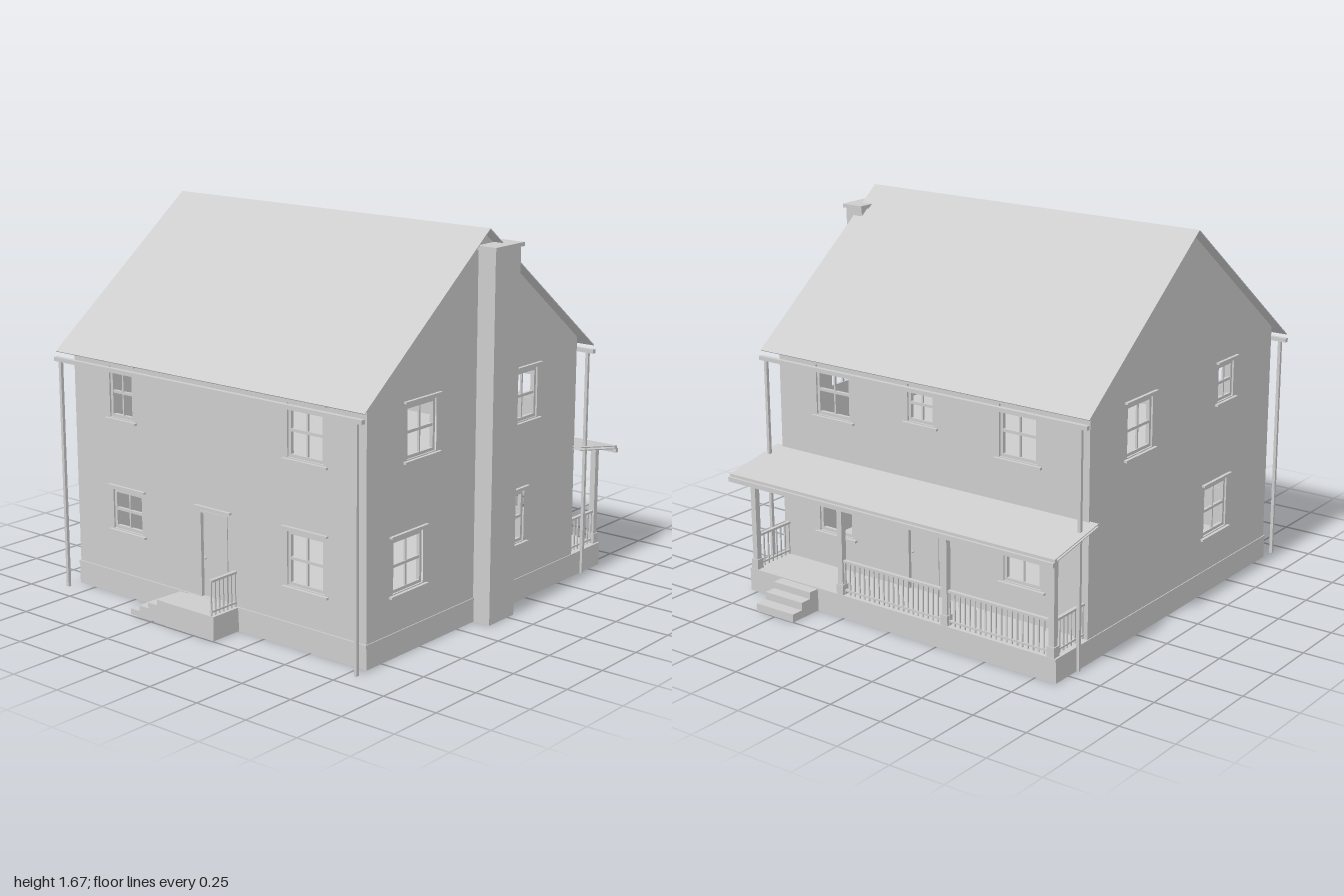
import * as THREE from 'three';

const paint = new THREE.MeshStandardMaterial({ color: 0xcccccc });
paint.name = 'pale grey';
const roofPaint = new THREE.MeshStandardMaterial({ color: 0xcccccc, side: THREE.DoubleSide });
roofPaint.name = 'pale grey sheet';

// Main dimensions
const X0 = -0.845, X1 = 0.785, Z0 = -0.61, Z1 = 0.84;
const EAVE = 1.1, RIDGE_Y = 1.665, RIDGE_Z = 0.112, BASE = 0.105, T = 0.03;

// Box given by its low and high limits on each axis
function box(parent, name, x0, x1, y0, y1, z0, z1) {
  const m = new THREE.Mesh(new THREE.BoxGeometry(x1 - x0, y1 - y0, z1 - z0), paint);
  m.position.set((x0 + x1) / 2, (y0 + y1) / 2, (z0 + z1) / 2);
  m.name = name;
  parent.add(m);
  return m;
}

function group(parent, name) {
  const g = new THREE.Group();
  g.name = name;
  parent.add(g);
  return g;
}

// Sash window in wall space: u across, y up, outer wall face at z = 0
function sashWindow(parent, [u0, u1, y0, y1]) {
  const g = group(parent, 'window');
  const f = 0.013, mid = (y0 + y1) / 2, c = (u0 + u1) / 2;
  box(g, 'windowJamb', u0, u0 + f, y0, y1, -0.024, -0.008);
  box(g, 'windowJamb', u1 - f, u1, y0, y1, -0.024, -0.008);
  box(g, 'windowRail', u0, u1, y0, y0 + f, -0.024, -0.008);
  box(g, 'windowRail', u0, u1, y1 - f, y1, -0.024, -0.008);
  box(g, 'meetingRail', u0, u1, mid - 0.006, mid + 0.006, -0.022, -0.009);
  box(g, 'mullion', c - 0.004, c + 0.004, y0, y1, -0.02, -0.011);
  box(g, 'sill', u0 - 0.022, u1 + 0.022, y0 - 0.014, y0 - 0.004, -0.01, 0.014);
  box(g, 'windowHeader', u0 - 0.022, u1 + 0.022, y1 + 0.014, y1 + 0.022, -0.01, 0.014);
}

// Door leaf with trim and knob
function door(parent, [u0, u1, y0, y1]) {
  const g = group(parent, 'door');
  box(g, 'doorLeaf', u0 + 0.008, u1 - 0.008, y0, y1 - 0.008, -0.024, -0.012);
  box(g, 'doorJamb', u0, u0 + 0.008, y0, y1, -0.026, 0.004);
  box(g, 'doorJamb', u1 - 0.008, u1, y0, y1, -0.026, 0.004);
  box(g, 'doorHead', u0, u1, y1 - 0.008, y1, -0.026, 0.004);
  box(g, 'doorHeader', u0 - 0.022, u1 + 0.022, y1 + 0.014, y1 + 0.022, -0.01, 0.014);
  const knob = new THREE.Mesh(new THREE.SphereGeometry(0.006, 8, 6), paint);
  knob.position.set(u0 + 0.02, (y0 + y1) / 2 - 0.02, -0.008);
  knob.name = 'doorKnob';
  g.add(knob);
}

// Wall panel with openings cut through it
function wall(parent, name, outline, windows, doors) {
  const g = group(parent, name);
  const shape = new THREE.Shape(outline.map(p => new THREE.Vector2(...p)));
  for (const [a, b, c, d] of [...windows, ...doors]) {
    shape.holes.push(new THREE.Path([[a, c], [a, d], [b, d], [b, c]].map(p => new THREE.Vector2(...p))));
  }
  const geo = new THREE.ExtrudeGeometry(shape, { depth: T, bevelEnabled: false });
  geo.translate(0, 0, -T);
  const m = new THREE.Mesh(geo, paint);
  m.name = name + 'Panel';
  g.add(m);
  windows.forEach(w => sashWindow(g, w));
  doors.forEach(d => door(g, d));
  return g;
}

// Railing along x or z between two limits
function railing(parent, axis, a, b, fixed, step) {
  const g = group(parent, 'railing');
  const bar = (name, p, q, y0, y1, h) => axis === 'x'
    ? box(g, name, p, q, y0, y1, fixed - h, fixed + h)
    : box(g, name, fixed - h, fixed + h, y0, y1, p, q);
  bar('handrail', a, b, 0.25, 0.26, 0.008);
  bar('bottomRail', a, b, 0.12, 0.128, 0.006);
  const n = Math.round((b - a) / step);
  for (let i = 0; i <= n; i++) {
    const p = a + 0.004 + (b - a - 0.008) * i / n;
    bar('baluster', p - 0.003, p + 0.003, BASE, 0.25, 0.003);
  }
}

// Sloping sheet spanning x0..x1 between two (y, z) edges
function sheet(parent, name, x0, x1, ya, za, yb, zb) {
  const len = Math.hypot(yb - ya, zb - za);
  const m = new THREE.Mesh(new THREE.BoxGeometry(x1 - x0, 0.004, len), roofPaint);
  m.position.set((x0 + x1) / 2, (ya + yb) / 2, (za + zb) / 2);
  m.rotation.x = Math.atan2(ya - yb, zb - za);
  m.name = name;
  parent.add(m);
  return m;
}

export function createModel() {
  const house = new THREE.Group();
  house.name = 'house';

  // Open foundation with the floors above it
  const base = group(house, 'foundation');
  const f = 0.025, FX0 = X0 - 0.004, FX1 = X1 + 0.004, FZ0 = -0.838, FZ1 = Z1 + 0.004;
  box(base, 'foundationFront', FX0, FX1, 0, 0.1, FZ1 - f, FZ1);
  box(base, 'foundationBack', FX0, FX1, 0, 0.1, FZ0, FZ0 + f);
  box(base, 'foundationRight', FX0, FX0 + f, 0, 0.1, FZ0 + f, FZ1 - f);
  box(base, 'foundationLeft', FX1 - f, FX1, 0, 0.1, FZ0 + f, FZ1 - f);
  box(base, 'groundFloor', FX0, FX1, 0.09, BASE, FZ0 - 0.002, FZ1 + 0.003);
  box(house, 'upperFloor', X0 + T, X1 - T, 0.61, 0.63, Z0 + T, Z1 - T);
  box(house, 'ceiling', X0 + T, X1 - T, 1.06, 1.07, Z0 + T, Z1 - T);

  // Front and back walls
  const rect = (a, b) => [[a, BASE], [b, BASE], [b, EAVE - 0.004], [a, EAVE - 0.004]];
  const front = wall(house, 'frontWall', rect(X0 + T, X1 - T), [
    [-0.63, -0.49, 0.797, 1.02], [0.38, 0.57, 0.797, 1.02],
    [-0.625, -0.447, 0.3, 0.475], [0.375, 0.57, 0.262, 0.49]
  ], [[-0.108, 0.05, BASE + 0.001, 0.482]]);
  front.position.z = Z1;
  const back = wall(house, 'backWall', rect(-X1 + T, -X0 - T), [
    [-0.575, -0.385, 0.797, 1.02], [-0.07, 0.07, 0.86, 1.02], [0.405, 0.595, 0.797, 1.02],
    [-0.575, -0.385, 0.262, 0.49], [0.425, 0.615, 0.262, 0.49]
  ], [[-0.08, 0.09, BASE + 0.001, 0.482]]);
  back.position.z = Z0;
  back.rotation.y = Math.PI;

  // Gable walls
  const gable = s => [[s * Z0, BASE], [s * Z1, BASE], [s * Z1, EAVE], [s * RIDGE_Z, RIDGE_Y - 0.008], [s * Z0, EAVE]];
  const left = wall(house, 'leftGable', gable(-1), [
    [-0.59, -0.4, 0.803, 1.02], [0.115, 0.31, 0.803, 1.02],
    [-0.675, -0.48, 0.268, 0.49], [0.045, 0.23, 0.268, 0.49]
  ], []);
  left.position.x = X1;
  left.rotation.y = Math.PI / 2;
  const right = wall(house, 'rightGable', gable(1), [
    [-0.34, -0.15, 0.803, 1.02], [0.38, 0.51, 0.86, 1.02], [0.29, 0.48, 0.268, 0.49]
  ], []);
  right.position.x = X0;
  right.rotation.y = -Math.PI / 2;

  // Main roof
  sheet(house, 'roofFront', -0.888, 0.828, RIDGE_Y, RIDGE_Z, 1.057, 0.905);
  sheet(house, 'roofBack', -0.888, 0.828, RIDGE_Y, RIDGE_Z, 1.057, -0.68);

  // Gutters and downspouts
  for (const z of [0.911, -0.686]) {
    box(house, 'gutter', -0.886, 0.826, 1.018, 1.036, z - 0.01, z + 0.01);
    for (const x of [-0.853, 0.793]) {
      box(house, 'downspout', x - 0.007, x + 0.007, 0, 1.02, z - 0.007, z + 0.007);
    }
  }

  // Chimney
  box(house, 'chimney', X1 - 0.005, 0.87, 0, 1.585, -0.043, 0.132);
  box(house, 'chimneyCap', 0.772, 0.88, 1.58, 1.597, -0.055, 0.143);

  // Back porch
  const porch = group(house, 'porch');
  const postX = [0.762, 0.27, -0.29, -0.822], PZ = -0.82;
  for (const x of postX) {
    box(porch, 'porchPost', x - 0.013, x + 0.013, BASE, 0.552, PZ - 0.013, PZ + 0.013);
    box(porch, 'postFoot', x - 0.018, x + 0.018, BASE, 0.15, PZ - 0.018, PZ + 0.018);
  }
  box(porch, 'porchBeam', -0.835, 0.775, 0.535, 0.556, PZ - 0.012, PZ + 0.012);
  for (const d of [0, 0.012]) {
    sheet(porch, 'porchRoof', -0.885, 0.825, 0.608 - d, -0.6, 0.552 - d, -0.902);
  }
  box(porch, 'porchFascia', -0.885, 0.825, 0.54, 0.554, -0.904, -0.89);
  box(porch, 'porchGutter', -0.885, 0.825, 0.522, 0.542, -0.916, -0.896);
  railing(porch, 'x', postX[1 + 1] + 0.013, postX[1] - 0.013, PZ, 0.027);
  railing(porch, 'x', postX[3] + 0.013, postX[2] - 0.013, PZ, 0.027);
  for (const x of [postX[0], postX[3]]) railing(porch, 'z', PZ + 0.013, Z0, x, 0.027);
  [[0.1, -0.89], [0.07, -0.943], [0.036, -1]].forEach(([h, z]) =>
    box(porch, 'porchStep', 0.395, 0.603, 0, h, z, FZ0));

  // Front landing, its side railing and steps
  const stoop = group(house, 'frontStoop');
  box(stoop, 'landing', -0.172, 0.108, 0, 0.104, FZ1, 0.995);
  for (let i = 0; i < 4; i++) {
    box(stoop, 'frontStep', -0.385 + i * 0.053, -0.172, i * 0.025, (i + 1) * 0.025, FZ1, 0.985);
  }
  railing(stoop, 'z', FZ1, 0.995, 0.094, 0.027);

  return house;
}
